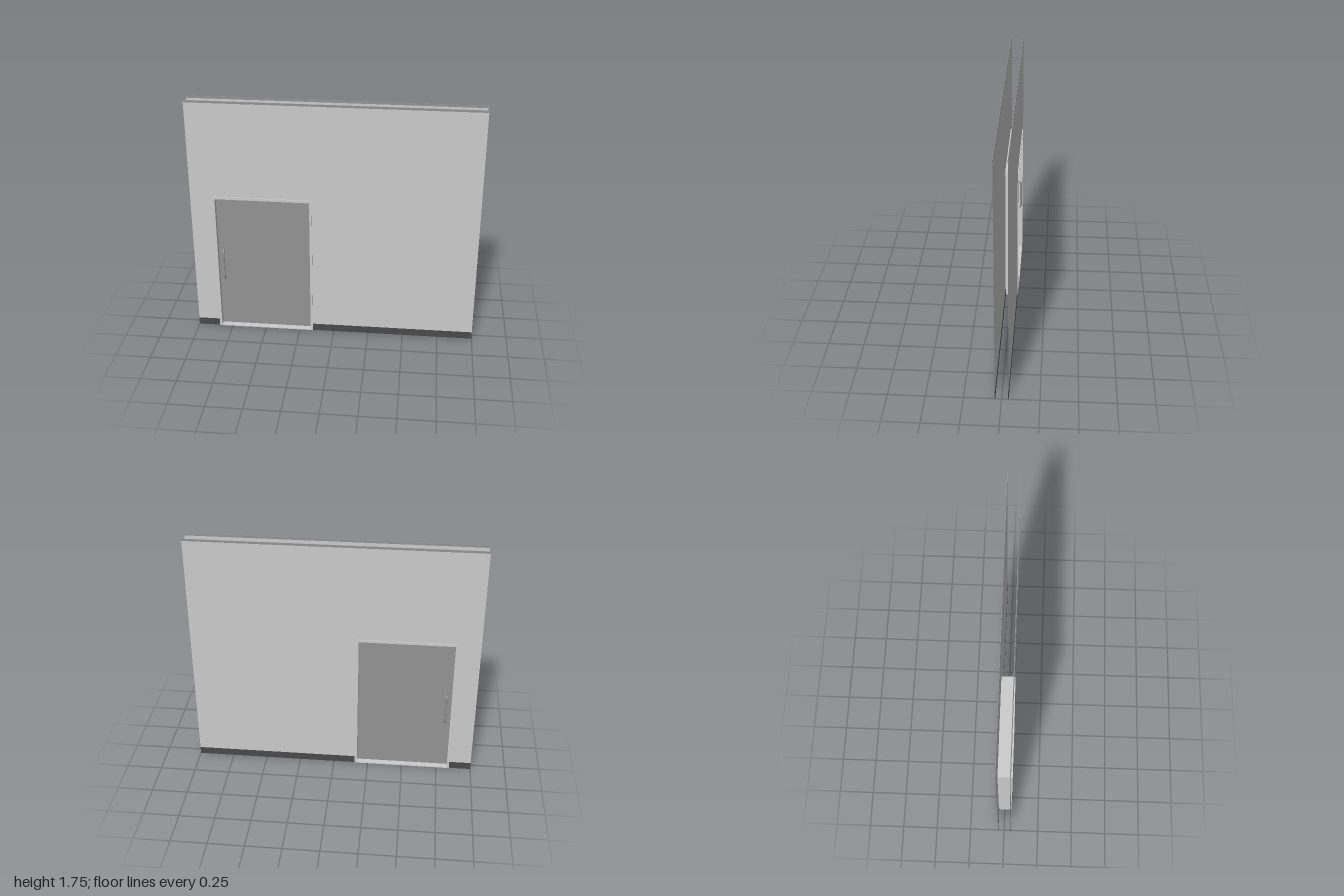
import * as THREE from 'three';

const DOOR = { left: -0.845, right: -0.153, top: 1.053, rim: 0.017 };
const HEIGHT = 1.75, BASE = 0.053, TRIM = 0.015, WALL_Z = 0.044, FRAME_D = 0.102;

const grey = new THREE.MeshStandardMaterial({ color: 0xcccccc, side: THREE.DoubleSide });
const dark = new THREE.MeshStandardMaterial({ color: 0x4a4a4a });
const mid = new THREE.MeshStandardMaterial({ color: 0x939393 });

// Box given by its x and y limits, depth and centre z
function slab(name, x0, x1, y0, y1, depth, z, material) {
  const mesh = new THREE.Mesh(new THREE.BoxGeometry(x1 - x0, y1 - y0, depth), material);
  mesh.position.set((x0 + x1) / 2, (y0 + y1) / 2, z);
  mesh.name = name;
  return mesh;
}

// Thin wall sheet notched around the doorway, with skirting and top trim
function wallSide(side) {
  const g = new THREE.Group();
  g.name = side > 0 ? 'frontWall' : 'backWall';
  const z = side * WALL_Z;
  const outline = new THREE.Shape([
    [-1, BASE], [DOOR.left, BASE], [DOOR.left, DOOR.top], [DOOR.right, DOOR.top],
    [DOOR.right, BASE], [1, BASE], [1, HEIGHT - TRIM], [-1, HEIGHT - TRIM],
  ].map(([x, y]) => new THREE.Vector2(x, y)));
  const panel = new THREE.Mesh(new THREE.ShapeGeometry(outline), grey);
  panel.name = 'wallPanel';
  panel.position.z = z;
  g.add(
    panel,
    slab('skirtingRight', -1, DOOR.left, 0, BASE, 0.004, z, dark),
    slab('skirtingLeft', DOOR.right, 1, 0, BASE, 0.004, z, dark),
    slab('topTrim', -1, 1, HEIGHT - TRIM, HEIGHT, 0.004, z, mid),
  );
  return g;
}

// D-shaped pull handle with rounded bends
function handle(side) {
  const x = -0.791, y0 = 0.398, y1 = 0.622, zIn = 0.006 * side, zOut = 0.04 * side, r = 0.018;
  const v = (y, z) => new THREE.Vector3(x, y, z);
  const path = new THREE.CurvePath();
  const zBend = zOut - r * side;
  path.add(new THREE.LineCurve3(v(y0, zIn), v(y0, zBend)));
  path.add(new THREE.QuadraticBezierCurve3(v(y0, zBend), v(y0, zOut), v(y0 + r, zOut)));
  path.add(new THREE.LineCurve3(v(y0 + r, zOut), v(y1 - r, zOut)));
  path.add(new THREE.QuadraticBezierCurve3(v(y1 - r, zOut), v(y1, zOut), v(y1, zBend)));
  path.add(new THREE.LineCurve3(v(y1, zBend), v(y1, zIn)));
  const mesh = new THREE.Mesh(new THREE.TubeGeometry(path, 80, 0.0075, 12), mid);
  mesh.name = side > 0 ? 'frontHandle' : 'backHandle';
  return mesh;
}

export function createModel() {
  const model = new THREE.Group();
  model.name = 'wallWithDoor';
  const { left, right, top, rim } = DOOR;

  // Door frame: jambs, head and low sill
  const frame = new THREE.Group();
  frame.name = 'doorFrame';
  frame.add(
    slab('rightJamb', left, left + rim, 0, top, FRAME_D, 0, grey),
    slab('leftJamb', right - rim, right, 0, top, FRAME_D, 0, grey),
    slab('head', left + rim, right - rim, top - rim, top, FRAME_D, 0, grey),
    slab('sill', left + rim, right - rim, 0, 0.006, FRAME_D, 0, grey),
  );

  // Recessed door leaf
  const door = slab('doorLeaf', left + rim, right - rim, 0.006, top - rim, 0.018, 0, mid);

  model.add(frame, door);
  for (const side of [1, -1]) model.add(wallSide(side), handle(side));
  return model;
}
